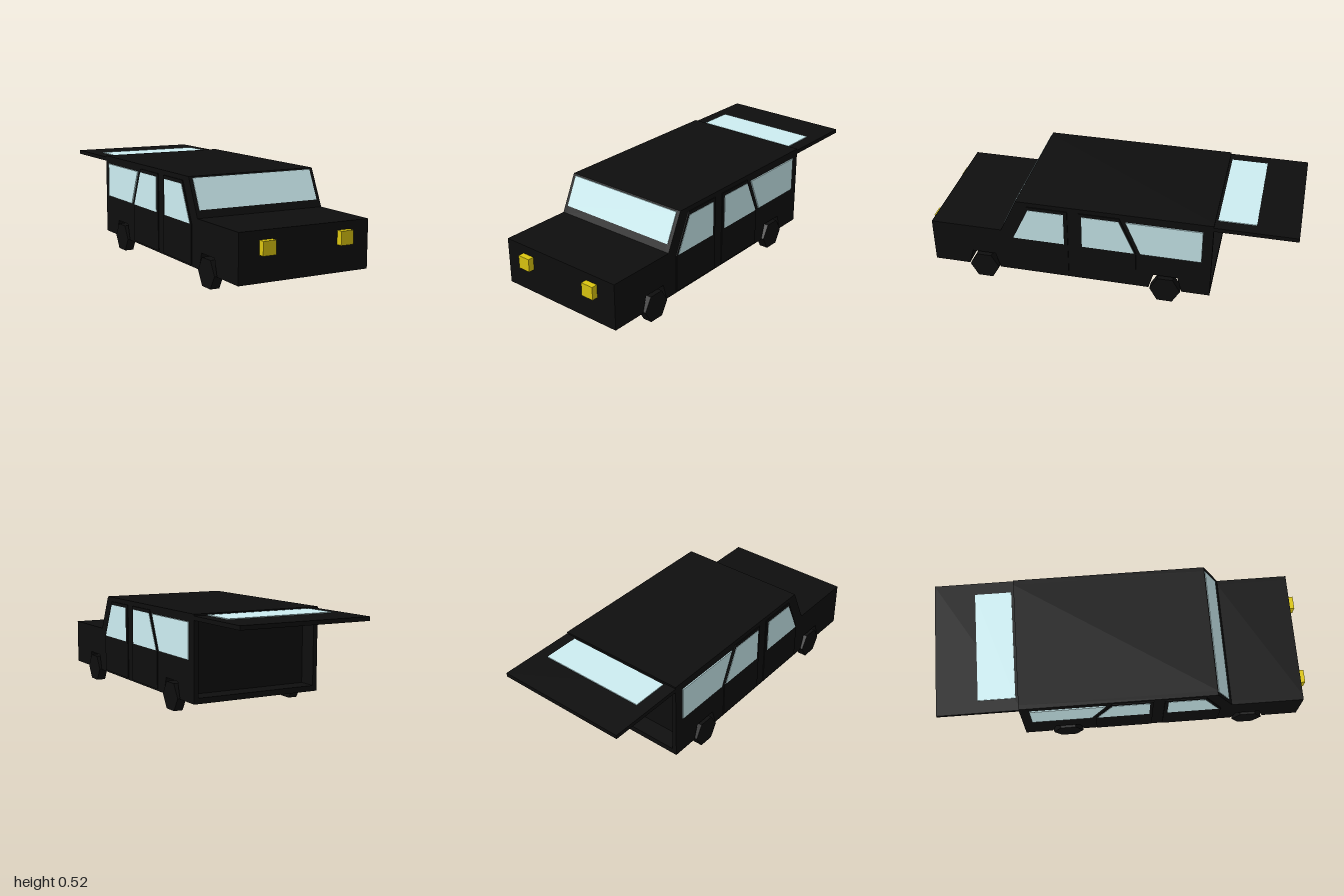
import * as THREE from 'three';

const paint = (color) => new THREE.MeshStandardMaterial({ color, flatShading: true });

export function createModel() {
  const car = new THREE.Group();
  car.name = 'car';
  const black = paint(0x0e0e0e);
  const glass = paint(0xcdeef2);
  const yellow = paint(0xdcc610);

  const add = (name, geometry, material) => {
    const mesh = new THREE.Mesh(geometry, material);
    mesh.name = name;
    car.add(mesh);
    return mesh;
  };
  // Side profile of [z, y] points, extruded across x from x0 to x1
  const slab = (name, points, x0, x1, material) => {
    const shape = new THREE.Shape(points.map(([z, y]) => new THREE.Vector2(z, y)));
    const geometry = new THREE.ExtrudeGeometry(shape, { depth: x1 - x0, bevelEnabled: false });
    geometry.translate(0, 0, -(x1 - x0) / 2).rotateY(-Math.PI / 2).translate((x0 + x1) / 2, 0, 0);
    return add(name, geometry, material);
  };
  const box = (name, size, position, material) =>
    add(name, new THREE.BoxGeometry(...size), material).position.set(...position);

  const halfWidth = 0.37, wall = 0.025;
  const rear = -0.57, recess = -0.47;
  const wheelZ = [-0.33, 0.68];

  // Lower edge with a wheel arch around each wheel, running rear to front
  const arches = wheelZ.flatMap((z) => [
    [z - 0.09, 0.07], [z - 0.065, 0.158], [z + 0.065, 0.158], [z + 0.09, 0.07],
  ]);
  const outline = [
    [rear, 0.07], ...arches, [0.967, 0.07], [0.967, 0.322], [0.573, 0.322], [0.48, 0.52], [rear, 0.52],
  ];
  // The middle of the body is set back behind the open tailgate
  const core = [...outline, [rear, 0.49], [recess, 0.49], [recess, 0.1], [rear, 0.1]];
  slab('body', core, -halfWidth + wall, halfWidth - wall, black);

  const frontDoor = [[0.2, 0.08], [0.515, 0.08], [0.515, 0.285], [0.42, 0.495], [0.2, 0.495]];
  const rearDoor = [[-0.17, 0.08], [0.14, 0.08], [0.14, 0.495], [-0.08, 0.495], [-0.17, 0.285]];
  const windows = {
    frontWindow: [[0.22, 0.287], [0.503, 0.287], [0.413, 0.477], [0.22, 0.477]],
    middleWindow: [[-0.162, 0.287], [0.122, 0.287], [0.122, 0.477], [-0.077, 0.477]],
    rearWindow: [[-0.518, 0.287], [-0.193, 0.287], [-0.113, 0.477], [-0.518, 0.477]],
  };

  for (const [side, s] of [['left', 1], ['right', -1]]) {
    // Thin part reaching from inside the body out to one side
    const sidePart = (name, points, inner, outer, material) =>
      slab(`${side} ${name}`, points, Math.min(s * inner, s * outer), Math.max(s * inner, s * outer), material);
    sidePart('sideWall', outline, halfWidth - wall, halfWidth, black);
    sidePart('frontDoor', frontDoor, 0.36, 0.375, black);
    sidePart('rearDoor', rearDoor, 0.36, 0.375, black);
    for (const [name, points] of Object.entries(windows)) sidePart(name, points, 0.362, 0.377, glass);

    // Six-sided wheels with flat top and bottom
    wheelZ.forEach((z, i) => {
      const geometry = new THREE.CylinderGeometry(0.083, 0.083, 0.05, 6).rotateZ(Math.PI / 2);
      add(`${side} ${i ? 'front' : 'rear'}Wheel`, geometry, black).position.set(s * 0.355, 0.072, z);
    });

    box(`${side} headlight`, [0.072, 0.071, 0.04], [s * 0.221, s > 0 ? 0.245 : 0.24, 0.98], yellow);
  }

  // Windscreen lying just proud of the sloping front
  slab('windscreen', [[0.54, 0.36], [0.558, 0.36], [0.487, 0.512], [0.469, 0.512]], -0.35, 0.35, glass);

  // Raised tailgate with its window on top
  box('tailgate', [0.74, 0.022, 0.45], [0, 0.5, -0.775], black);
  box('tailgateWindow', [0.605, 0.012, 0.197], [0, 0.509, -0.682], glass);

  return car;
}
